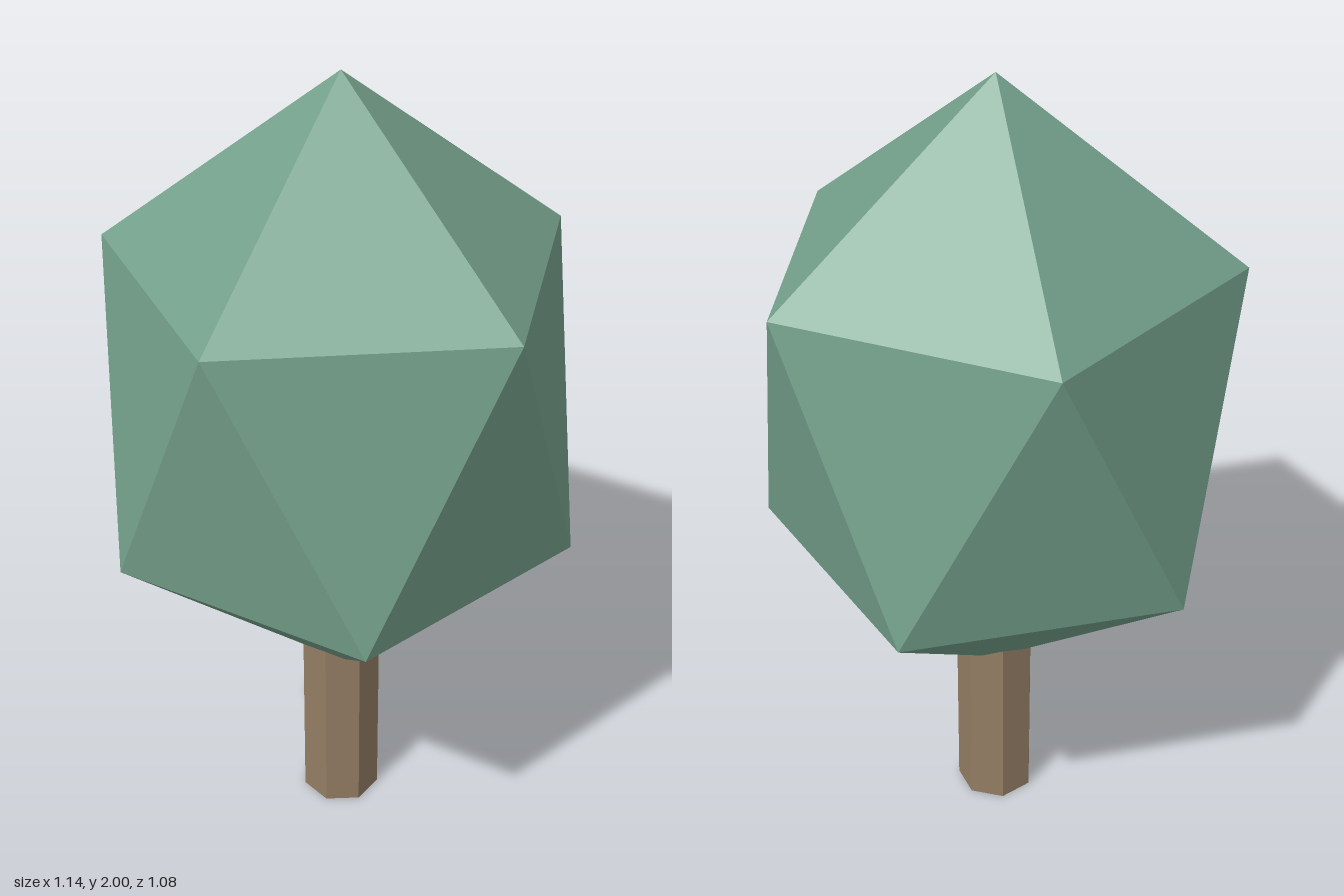
import * as THREE from 'three';

const leafGreen = new THREE.MeshStandardMaterial({ color: 0x74a08b });
leafGreen.name = 'leafGreen';
leafGreen.flatShading = true;
const barkBrown = new THREE.MeshStandardMaterial({ color: 0x947d64 });
barkBrown.name = 'barkBrown';
barkBrown.flatShading = true;

// Stretched icosahedron: two poles and two staggered five-point rings
function crownGeometry(bottom, top, radius) {
  const mid = (top + bottom) / 2;
  const ringOffset = (top - bottom) / 2 / Math.sqrt(5);
  const ringPoint = (i, y, turn) => {
    const a = ((i + turn) * Math.PI * 2) / 5;
    return new THREE.Vector3(Math.cos(a) * radius, y, Math.sin(a) * radius);
  };
  const upper = (i) => ringPoint(i, mid + ringOffset, 0);
  const lower = (i) => ringPoint(i, mid - ringOffset, 0.5);
  const peak = new THREE.Vector3(0, top, 0);
  const base = new THREE.Vector3(0, bottom, 0);

  const points = [];
  for (let i = 0; i < 5; i++) {
    points.push(peak, upper(i + 1), upper(i));
    points.push(upper(i), upper(i + 1), lower(i));
    points.push(lower(i), upper(i + 1), lower(i + 1));
    points.push(base, lower(i), lower(i + 1));
  }
  const geometry = new THREE.BufferGeometry().setFromPoints(points);
  geometry.computeVertexNormals();
  return geometry;
}

export function createModel() {
  const tree = new THREE.Group();
  tree.name = 'tree';

  // Seven-sided trunk with a flat side to the front
  const trunkHeight = 0.6;
  const trunk = new THREE.Mesh(
    new THREE.CylinderGeometry(0.1, 0.1, trunkHeight, 7, 1, false, Math.PI),
    barkBrown
  );
  trunk.name = 'trunk';
  trunk.position.y = trunkHeight / 2;
  tree.add(trunk);

  // Faceted leaf crown
  const crown = new THREE.Mesh(crownGeometry(0.405, 2, 0.57), leafGreen);
  crown.name = 'crown';
  tree.add(crown);

  return tree;
}
